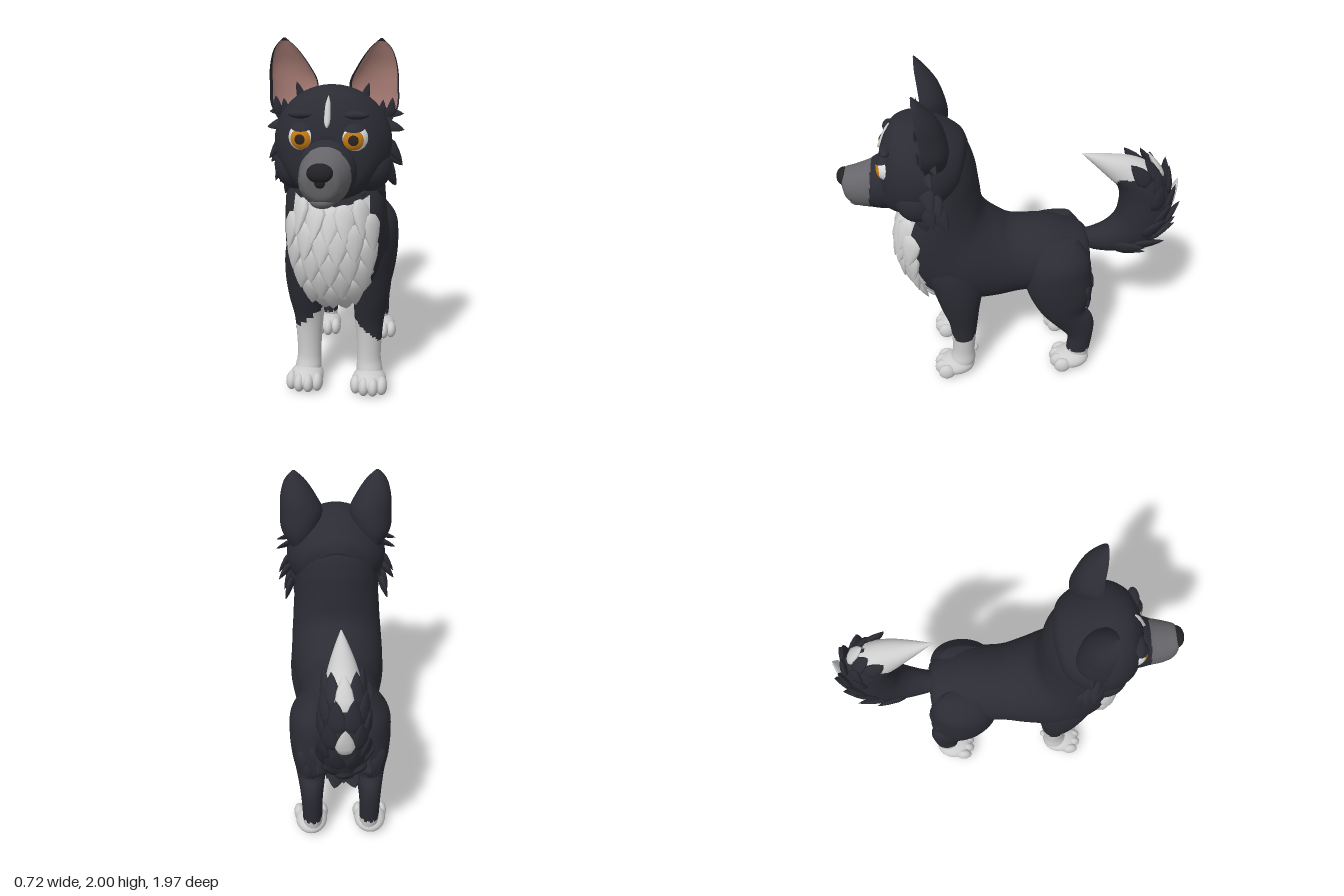
import * as THREE from 'three';

const mat = (name, color) => Object.assign(new THREE.MeshStandardMaterial({ color }), { name });
const coat = mat('charcoal coat', 0x2b2c34), white = mat('white fur', 0xcdcdcd), grey = mat('grey muzzle', 0x66666a),
  pink = mat('pink inner ear', 0xb1837b), amber = mat('amber iris', 0xc67a12), pupilMat = mat('dark pupil', 0x2c2420),
  eyeMat = mat('eye white', 0xdedede), noseMat = mat('nose leather', 0x232326);
const SIDES = [['left', 1], ['right', -1]];

// Catmull-Rom sample of a table of rows at row number s
function sample(rows, s) {
  const i = Math.min(Math.max(Math.floor(s), 0), rows.length - 2), t = s - i;
  const at = k => rows[Math.min(Math.max(k, 0), rows.length - 1)];
  return rows[i].map((_, c) => {
    const a = at(i - 1)[c], b = at(i)[c], d = at(i + 1)[c], e = at(i + 2)[c];
    return b + 0.5 * t * (d - a + t * (2 * a - 5 * b + 4 * d - e + t * (3 * (b - d) + e - a)));
  });
}

// Point on a loft: each row is [z, y of one edge, z, y of the opposite edge, half width, centre x]
function surface(rows, s, u, v) {
  const [z1, y1, z2, y2, w, cx = 0] = sample(rows, s);
  return new THREE.Vector3(cx + u * w, (y1 + y2) / 2 + v * (y1 - y2) / 2, (z1 + z2) / 2 + v * (z1 - z2) / 2);
}

const oval = a => [Math.cos(a), Math.sin(a)];

// Closed smooth skin through the rows; pick() gives each patch its material number
function loft(name, rows, mats, pick = () => 0, n = 40, ring = oval, steps = 8) {
  const pos = [], lists = mats.map(() => []), rings = (rows.length - 1) * steps;
  for (let j = 0; j <= rings; j++)
    for (let k = 0; k < n; k++) pos.push(surface(rows, j / steps, ...ring(k / n * Math.PI * 2)));
  for (let j = 0; j < rings; j++)
    for (let k = 0; k < n; k++) {
      const a = j * n + k, b = j * n + (k + 1) % n, c = a + n, d = b + n;
      const [u, v] = ring((k + 0.5) / n * Math.PI * 2);
      const p = pos[a].clone().add(pos[d]).multiplyScalar(0.5);
      lists[pick((j + 0.5) / steps, u, v, p)].push(a, b, d, a, d, c);
    }
  for (const [j, flip] of [[0, true], [rings, false]]) {
    const mid = new THREE.Vector3(), o = j * n, s = j / steps;
    for (let k = 0; k < n; k++) mid.addScaledVector(pos[o + k], 1 / n);
    const m = pos.push(mid) - 1, list = lists[pick(s, 0, 0, mid)];
    for (let k = 0; k < n; k++) {
      const a = o + k, b = o + (k + 1) % n;
      flip ? list.push(m, b, a) : list.push(m, a, b);
    }
  }
  const index = lists.flat();
  let volume = 0;
  for (let i = 0; i < index.length; i += 3)
    volume += pos[index[i]].dot(pos[index[i + 1]].clone().cross(pos[index[i + 2]]));
  if (volume < 0) for (let i = 0; i < index.length; i += 3) [index[i], index[i + 1]] = [index[i + 1], index[i]];
  const geo = new THREE.BufferGeometry().setFromPoints(pos);
  geo.setIndex(index);
  let start = 0;
  lists.forEach((l, i) => { geo.addGroup(start, l.length, i); start += l.length; });
  geo.computeVertexNormals();
  const mesh = new THREE.Mesh(geo, mats);
  mesh.name = name;
  return mesh;
}

const ballGeo = new THREE.SphereGeometry(1, 24, 16);
function ball(name, m, p, r) {
  const mesh = new THREE.Mesh(ballGeo, m);
  mesh.name = name;
  mesh.position.set(...p);
  mesh.scale.set(...r);
  return mesh;
}

// Flat pointed lock of fur
const tuftGeo = new THREE.LatheGeometry([[0, 0], [0.7, 0.08], [1, 0.3], [0.75, 0.6], [0.38, 0.84], [0, 1]]
  .map(p => new THREE.Vector2(...p)), 12);
function tuft(name, m, p, dir, normal, len, wid) {
  const y = dir.clone().normalize(), x = y.clone().cross(normal).normalize(), z = x.clone().cross(y);
  const mesh = new THREE.Mesh(tuftGeo, m);
  mesh.name = name;
  mesh.quaternion.setFromRotationMatrix(new THREE.Matrix4().makeBasis(x, y, z));
  mesh.position.copy(p);
  mesh.scale.set(wid, len, wid * 0.42);
  return mesh;
}

// Lock lying on a loft's second edge, pointing towards row s + ds
function lock(name, m, rows, s, u, ds, len, wid, lift = 0.15) {
  const v = -Math.sqrt(1 - u * u), p = surface(rows, s, u, v);
  const normal = p.clone().sub(surface(rows, s, 0, 0)).normalize();
  const dir = surface(rows, s + ds, u, v).sub(p).normalize().addScaledVector(normal, lift);
  return tuft(name, m, p.addScaledVector(normal, -0.012), dir, normal, len, wid);
}

const BODY = [[-.46, .88, -.46, .84, .05], [-.44, .955, -.45, .70, .15], [-.36, 1.0, -.38, .60, .215],
  [-.2, 1.05, -.22, .58, .235], [0, 1.06, -.05, .575, .235], [.08, 1.1, .15, .545, .26], [.15, 1.16, .38, .55, .285],
  [.18, 1.22, .57, .64, .285], [.19, 1.3, .67, .82, .275], [.2, 1.38, .685, 1.02, .265], [.215, 1.48, .62, 1.2, .25],
  [.26, 1.6, .6, 1.3, .24], [.36, 1.68, .55, 1.45, .18]];
const HEAD = [[.25, 1.6, .3, 1.4, .12], [.28, 1.66, .34, 1.3, .21], [.36, 1.715, .42, 1.24, .275], [.46, 1.76, .5, 1.2, .3],
  [.56, 1.775, .58, 1.19, .295], [.64, 1.75, .65, 1.2, .255], [.69, 1.69, .69, 1.21, .21], [.72, 1.62, .72, 1.22, .15],
  [.738, 1.55, .738, 1.26, .08]];
const MUZZLE = [[.66, 1.54, .66, 1.21, .15], [.74, 1.53, .74, 1.21, .145], [.8, 1.497, .8, 1.22, .13], [.88, 1.47, .88, 1.235, .115],
  [.94, 1.455, .935, 1.275, .09], [.962, 1.43, .95, 1.32, .05]];
const TAIL = [[-.4, .95, -.42, .86, .06], [-.48, .965, -.5, .82, .075], [-.56, 1.0, -.64, .81, .1], [-.61, 1.06, -.8, .85, .12],
  [-.625, 1.13, -.9, .97, .125], [-.625, 1.21, -.935, 1.13, .12], [-.6, 1.28, -.91, 1.28, .112], [-.55, 1.33, -.82, 1.385, .095],
  [-.49, 1.39, -.7, 1.45, .07], [-.43, 1.45, -.54, 1.478, .035], [-.39, 1.49, -.395, 1.495, .004]];
const FORELEG = [[.48, 1.0, .2, 1.02, .03, .22], [.52, .85, .2, .85, .09, .2], [.49, .7, .2, .68, .115, .185], [.45, .55, .22, .55, .1, .185],
  [.412, .42, .235, .42, .084, .175], [.4, .3, .25, .3, .073, .175], [.4, .18, .26, .18, .069, .175], [.42, .1, .26, .1, .075, .18],
  [.42, .03, .28, .03, .06, .18]];
const HINDLEG = [[-.12, .98, -.36, 1.0, .04, .14], [-.07, .85, -.44, .88, .13, .15], [-.06, .7, -.465, .75, .148, .15],
  [-.1, .57, -.47, .6, .13, .16], [-.17, .45, -.435, .48, .095, .175], [-.27, .33, -.48, .42, .075, .175],
  [-.335, .25, -.5, .33, .064, .175], [-.335, .15, -.485, .15, .06, .175], [-.33, .05, -.465, .05, .06, .175]];
const EAR = [[.48, 1.56, .37, 1.58, .06, .22], [.492, 1.66, .35, 1.67, .113, .215], [.497, 1.77, .365, 1.77, .125, .205],
  [.507, 1.86, .4, 1.86, .102, .222], [.52, 1.945, .465, 1.945, .06, .238], [.523, 2.0, .515, 2.0, .006, .243]];
// Crescent ring with a hollow front for the ears
const crescent = a => [Math.cos(a), Math.sin(a) > 0 ? 1 - 1.1 * Math.sin(a) : 1 + 2 * Math.sin(a)];
// Cheek and ear locks: position, direction, length, half width
const CHEEK = [[.25, 1.63, .45, 1, -.15, -.3, .11, .03], [.26, 1.57, .48, .9, -.3, -.25, .11, .035], [.27, 1.49, .49, .55, -.8, -.2, .15, .05],
  [.275, 1.44, .45, .6, -.75, -.25, .13, .05], [.265, 1.39, .5, .35, -.85, -.25, .16, .055], [.27, 1.35, .44, .3, -.85, -.4, .15, .05],
  [.235, 1.31, .53, .2, -.9, -.25, .13, .05], [.22, 1.28, .46, .2, -.9, -.35, .12, .05], [.16, 1.25, .55, .2, -.95, -.1, .09, .045],
  [.29, 1.61, .49, .1, 1, .1, .1, .024], [.245, 1.61, .51, .1, 1, .1, .09, .022], [.15, 1.67, .52, .3, 1, .05, .12, .024]];

export function createModel() {
  const dog = new THREE.Group();
  const add = (...m) => dog.add(...m);

  // Torso and neck, with white bib and belly
  add(loft('torso', BODY, [coat, white], (s, u, v) => {
    const lim = s < 3.2 || s > 9.7 ? 0 : s < 5.5 ? 0.5 : Math.min(0.74, 0.5 + (s - 5.5) * 0.14);
    return v < 0 && Math.abs(u) < lim ? 1 : 0;
  }, 72));
  // Bib locks in staggered rows
  [[9.75, 5, .62], [9.2, 6, .78], [8.6, 5, .72], [8.1, 4, .58], [7.6, 3, .4], [7.2, 2, .2]].forEach(([s, count, spread]) => {
    for (let i = 0; i < count; i++) {
      const u = count > 1 ? (i / (count - 1) * 2 - 1) * spread : 0;
      add(lock('bibLock', white, BODY, s, u, -0.4, 0.21, 0.068, 0.12));
    }
  });

  // Head, muzzle, nose and blaze
  add(loft('head', HEAD, [coat], () => 0, 48));
  add(loft('muzzle', MUZZLE, [coat, grey], (s, u, v, p) => p.z > 0.785 + (1.5 - p.y) * 0.12 ? 1 : 0, 40));
  add(ball('chin', grey, [0, 1.262, .885], [.06, .035, .05]));
  add(ball('nose', noseMat, [0, 1.412, .943], [.064, .047, .042]));
  add(ball('noseBase', noseMat, [0, 1.375, .945], [.03, .035, .025]));
  add(loft('blaze', [[.668, 1.735, .65, 1.71, .004], [.7, 1.69, .66, 1.68, .016], [.731, 1.62, .7, 1.61, .016], [.744, 1.59, .71, 1.58, .004]],
    [white], () => 0, 16));

  // Tail with white tip, and locks following its curve
  add(loft('tail', TAIL, [coat, white], (s, u, v) => s > 6.9 + 0.25 * Math.sin(u * 9) + 0.4 * Math.max(0, -v) ? 1 : 0, 48));
  for (let row = 0; row < 7; row++)
    for (const u of row % 2 ? [-.85, -.35, .35, .85] : [-.95, -.6, 0, .6, .95]) {
      const s = 1.9 + row * 0.75;
      const m = s > 4.6 && u === 0 || s > 6 && Math.abs(u) < 0.5 ? white : coat;
      add(lock('tailLock', m, TAIL, s, u, 0.3, 0.19, 0.05, 0.2));
    }

  for (const [label, k] of SIDES) {
    const mirror = rows => rows.map(r => [...r.slice(0, 5), r[5] * k]);
    const vec = (x, y, z) => new THREE.Vector3(x * k, y, z);

    // Legs with white socks
    add(loft(label + 'FrontLeg', mirror(FORELEG), [coat, white],
      (s, u, v, p) => p.y < (k > 0 ? 0.36 : 0.42) - 0.07 * u * k + 0.012 * Math.sin(u * 14) ? 1 : 0));
    const hind = mirror(HINDLEG);
    add(loft(label + 'HindLeg', hind, [coat, white], (s, u, v, p) => p.y < 0.14 + 0.01 * Math.sin(u * 12) ? 1 : 0));
    add(ball(label + 'DewPad', white, [.175 * k, .18, .262], [.022, .028, .025]));
    for (const [s, u] of [[2, 0], [2.3, .5 * k], [2.6, -.2], [2.9, .3 * k], [3.2, 0]])
      add(lock(label + 'ThighLock', coat, hind, s, u, 0.3, 0.13, 0.04, 0.12));

    // Paws: heel pad and four toes
    for (const [end, z] of [['Front', .385], ['Hind', -.36]]) {
      const paw = new THREE.Group();
      paw.name = label + end + 'Paw';
      paw.add(ball('pad', white, [.183 * k, .064, z], [.098, .064, .12]));
      [-.074, -.026, .026, .074].forEach((dx, i) =>
        paw.add(ball('toe', white, [.186 * k + dx, .056, z + (i % 3 ? .082 : .06)], [.033, .054, .052])));
      add(paw);
    }

    // Ears with hollow pink fronts
    add(loft(label + 'Ear', mirror(EAR), [coat, pink],
      (s, u, v) => v < 0.55 && v > 1 - 1.12 * Math.sqrt(1 - u * u) && s > 0.8 && s < 4.6 ? +(Math.abs(v - (1 - 1.1 * Math.sqrt(1 - u * u))) < 0.01) : 0,
      48, crescent));

    // Cheek ruff and ear-base locks
    add(ball(label + 'Cheek', coat, [.19 * k, 1.36, .53], [.115, .13, .13]));
    for (const [x, y, z, dx, dy, dz, len, wid] of CHEEK)
      add(tuft(label + 'CheekLock', coat, vec(x, y, z), vec(dx, dy, dz), dy > 0.5 ? vec(0, 0, 1) : vec(1, .3, .35), len, wid));
    add(ball(label + 'Lip', grey, [.048 * k, 1.335, .895], [.058, .05, .05]));
    add(ball(label + 'Brow', coat, [.135 * k, 1.645, .685], [.065, .022, .032]));

    // Eye: ball, iris cap, pupil cap and upper lid
    const eye = new THREE.Group();
    eye.name = label + 'Eye';
    const cap = (name, m, r, angle, tilt) => {
      const mesh = new THREE.Mesh(new THREE.SphereGeometry(r, 32, 12, 0, Math.PI * 2, 0, angle), m);
      mesh.name = name;
      mesh.rotation.x = tilt;
      eye.add(mesh);
    };
    cap('eyeball', eyeMat, .076, Math.PI, 0);
    cap('iris', amber, .078, .7, Math.PI / 2);
    cap('pupil', pupilMat, .0795, .33, Math.PI / 2);
    cap('upperLid', coat, .083, .75, .35);
    eye.position.set(.124 * k, 1.53, .672);
    eye.rotation.y = .1 * k;
    add(eye);
  }

  const model = new THREE.Group();
  model.name = 'dog';
  model.add(dog);
  return model;
}
